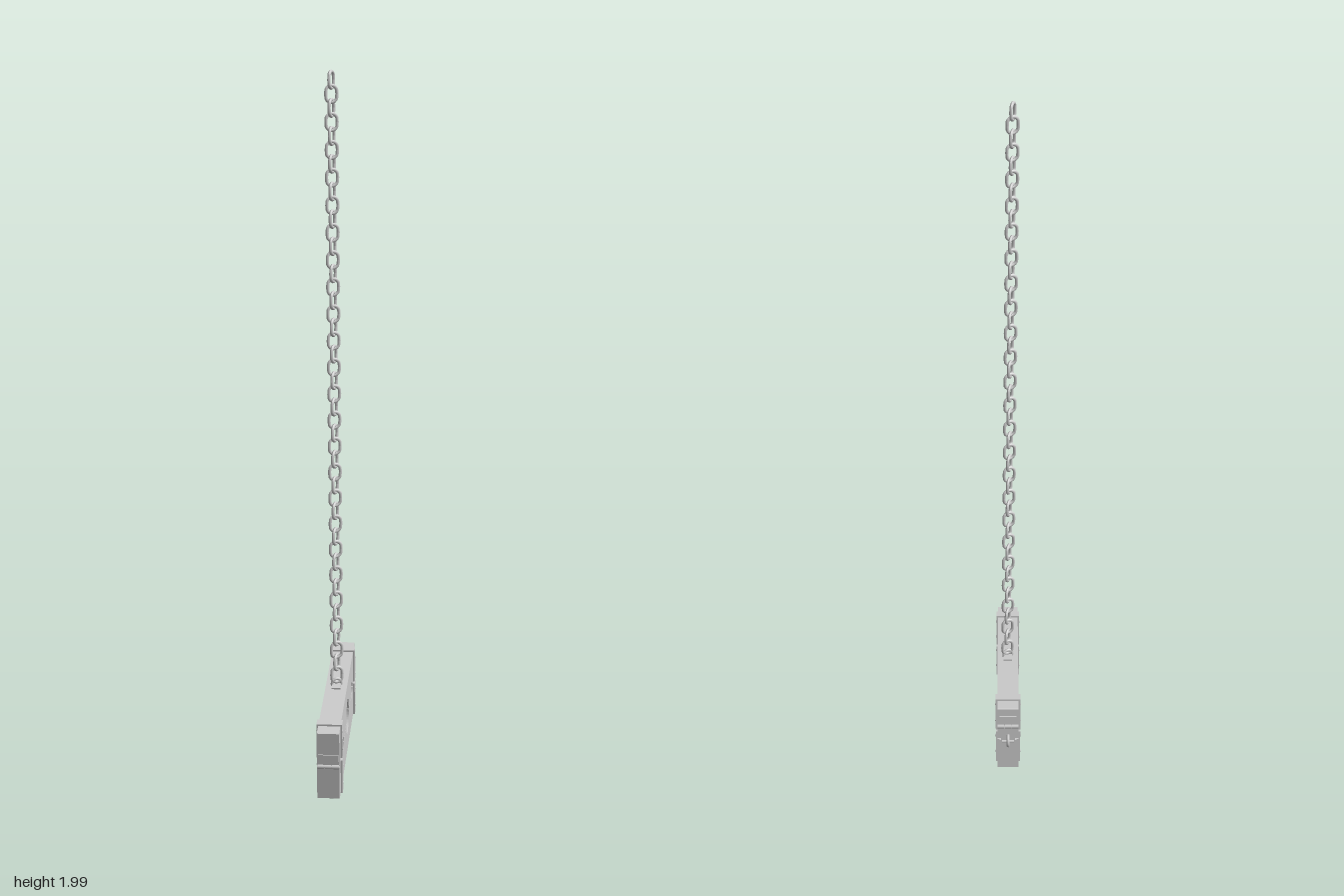
import * as THREE from 'three';

const mat = new THREE.MeshStandardMaterial({ color: 0xcccccc });
const HALF_L = 0.306, HALF_H = 0.101, THICK = 0.062;

function add(parent, name, geometry, x = 0, y = 0, z = 0) {
  const mesh = new THREE.Mesh(geometry, mat);
  mesh.name = name;
  mesh.position.set(x, y, z);
  parent.add(mesh);
  return mesh;
}

const box = (x, y, z) => new THREE.BoxGeometry(x, y, z);

// One plank with half-round cutouts along a rough seam; side = 1 upper, -1 lower
function plankGeometry(side) {
  const gap = 0.0015 * side;
  const holes = [[-0.18, 0.024], [-0.004, 0.05], [0.18, 0.024]];
  const shape = new THREE.Shape();
  shape.moveTo(-HALF_L, gap);
  let from = -HALF_L;
  for (const [u, r] of [...holes, [HALF_L, 0]]) {
    const to = u - r;
    [0.003, -0.002, 0.002].forEach((jag, i) =>
      shape.lineTo(from + (to - from) * (i + 1) / 4, gap + jag));
    if (r > 0) shape.absarc(u, gap, r, Math.PI, 0, side > 0);
    else shape.lineTo(u, gap);
    from = u + r;
  }
  // slightly worn outer edge
  shape.lineTo(HALF_L, side * (HALF_H - 0.002));
  shape.lineTo(HALF_L - 0.003, side * HALF_H);
  shape.lineTo(-HALF_L + 0.003, side * HALF_H);
  shape.lineTo(-HALF_L, side * (HALF_H - 0.002));
  const geo = new THREE.ExtrudeGeometry(shape, { depth: THICK, bevelEnabled: false, curveSegments: 10 });
  geo.translate(0, 0, -THICK / 2);
  geo.rotateY(-Math.PI / 2);
  return geo;
}

// U-shaped iron strap around the outer edge of a plank, with rivets
function addStrap(parent, side, z) {
  const strap = new THREE.Group();
  strap.name = 'strap';
  const w = 0.03, t = 0.005, h = 0.097;
  add(strap, 'strapCap', box(THICK + 2 * t, t, w), 0, side * (HALF_H + t / 2), z);
  for (const sx of [-1, 1]) {
    add(strap, 'strapArm', box(t, h, w), sx * (THICK + t) / 2, side * (HALF_H - h / 2), z);
    for (const v of [0.025, 0.08]) {
      const rivet = add(strap, 'rivet', new THREE.SphereGeometry(0.004, 8, 6), sx * (THICK / 2 + t), side * v, z);
      rivet.scale.x = 0.45;
    }
  }
  parent.add(strap);
}

// Three-knuckle hinge barrel running across the board
function addBarrel(parent, y, z, r) {
  for (let i = -1; i <= 1; i++) {
    const knuckle = add(parent, 'hingeKnuckle', new THREE.CylinderGeometry(r, r, 0.019, 10), i * 0.0205, y, z);
    knuckle.rotation.z = Math.PI / 2;
  }
  const pin = add(parent, 'hingePin', new THREE.CylinderGeometry(r * 0.6, r * 0.6, 0.062, 8), 0, y, z);
  pin.rotation.z = Math.PI / 2;
}

function createBoard() {
  const board = new THREE.Group();
  board.name = 'stockBoard';
  for (const side of [1, -1]) {
    add(board, side > 0 ? 'upperPlank' : 'lowerPlank', plankGeometry(side));
    for (const z of [-0.248, 0.248]) addStrap(board, side, z);
  }

  // hinge on the front end
  const hinge = new THREE.Group();
  hinge.name = 'hinge';
  addBarrel(hinge, 0, HALF_L + 0.004, 0.006);
  for (const s of [-1, 1]) add(hinge, 'hingeLeaf', box(0.056, 0.03, 0.004), 0, s * 0.02, HALF_L + 0.001);
  board.add(hinge);

  // hasp and staple on the back end
  const hasp = new THREE.Group();
  hasp.name = 'hasp';
  add(hasp, 'haspLeaf', box(0.05, 0.028, 0.004), 0, 0.062, -HALF_L - 0.001);
  addBarrel(hasp, 0.045, -HALF_L - 0.006, 0.006);
  add(hasp, 'haspPlate', box(0.04, 0.065, 0.005), 0, 0.01, -HALF_L - 0.008);
  add(hasp, 'staplePlate', box(0.05, 0.045, 0.004), 0, -0.025, -HALF_L - 0.002);
  const staple = add(hasp, 'staple', new THREE.TorusGeometry(0.016, 0.0045, 8, 16), 0, 0.002, -HALF_L - 0.013);
  staple.rotation.y = Math.PI / 2;
  const peg = add(hasp, 'lockingPeg', new THREE.CylinderGeometry(0.004, 0.004, 0.034, 8), 0, 0.002, -HALF_L - 0.018);
  peg.rotation.z = Math.PI / 2;
  board.add(hasp);

  // hanging plate and eye on the top edge
  add(board, 'hangingPlate', box(0.026, 0.005, 0.06), 0, HALF_H + 0.002, -0.003);
  const eye = add(board, 'hangingEye', new THREE.TorusGeometry(0.014, 0.0045, 8, 16), 0, HALF_H + 0.006, -0.003);
  eye.rotation.y = 0.4;
  return board;
}

// Oval link: a ring whose two halves are pulled apart
function linkGeometry() {
  const geo = new THREE.TorusGeometry(0.0162, 0.0047, 8, 20);
  const pos = geo.attributes.position;
  for (let i = 0; i < pos.count; i++) {
    const y = pos.getY(i);
    if (Math.abs(y) > 1e-4) pos.setY(i, y + Math.sign(y) * 0.0065);
  }
  geo.computeVertexNormals();
  return geo;
}

function createChain() {
  const chain = new THREE.Group();
  chain.name = 'chain';
  const geo = linkGeometry();
  const count = 46;
  for (let i = 0; i < count; i++) {
    const t = i / (count - 1);
    const link = add(chain, 'chainLink', geo, -0.014 * t, 0.271 + 1.7016 * t, 0.016 + 0.023 * t);
    link.rotation.y = i % 2 ? Math.PI / 2 - 0.32 : 0.42;
  }
  return chain;
}

export function createModel() {
  const model = new THREE.Group();
  model.name = 'hangingStocks';
  const board = createBoard();
  board.position.set(-0.001, 0.138, 0.0075);
  board.rotation.x = 0.105;
  model.add(board, createChain());
  return model;
}
